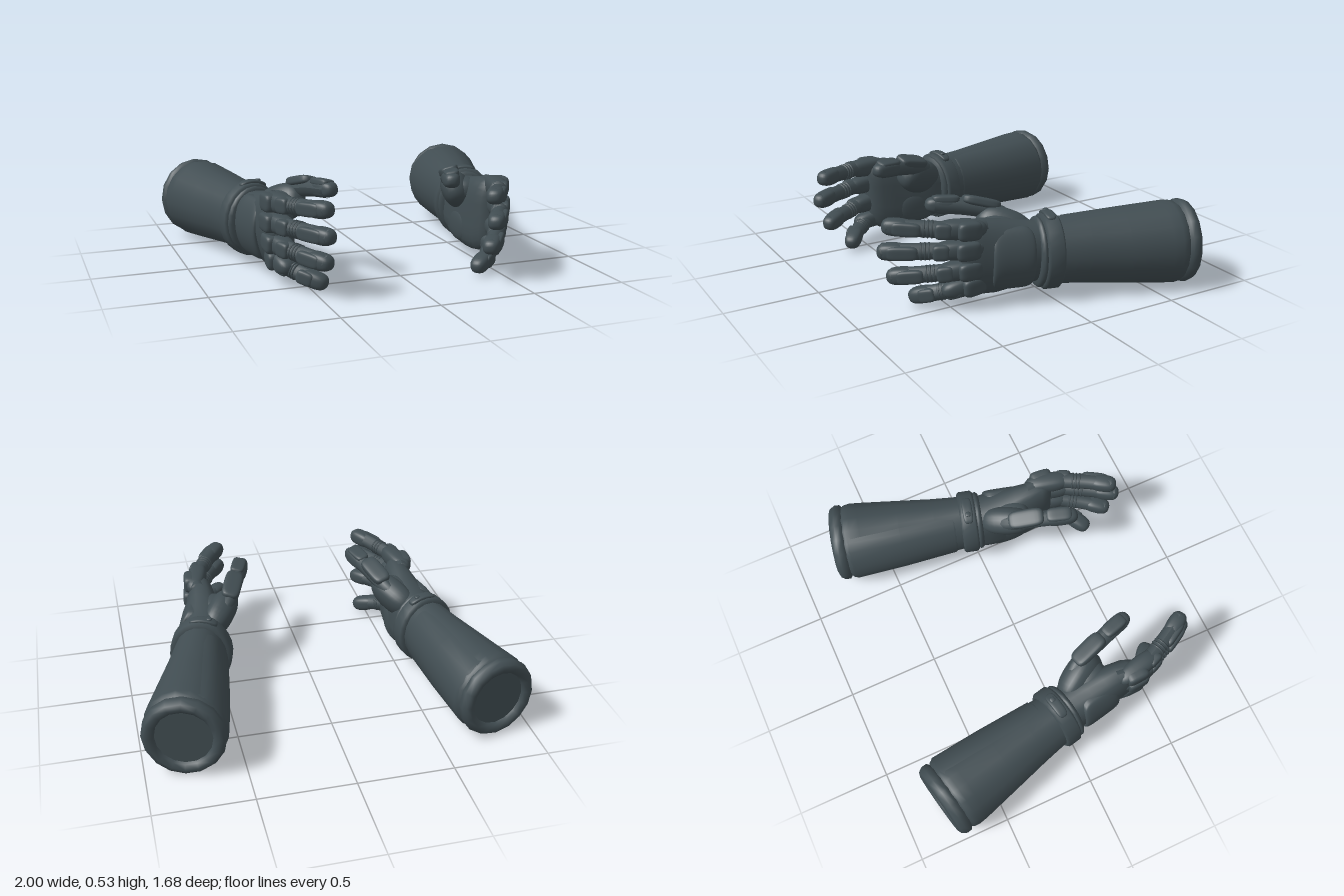
import * as THREE from 'three';
import { mergeVertices } from 'three/addons/utils/BufferGeometryUtils.js';

const V = (x, y, z) => new THREE.Vector3(x, y, z);

// Move every vertex by a rule
function bend(g, rule) {
  const pos = g.attributes.position;
  for (let i = 0; i < pos.count; i++) {
    const v = V().fromBufferAttribute(pos, i);
    rule(v);
    pos.setXYZ(i, v.x, v.y, v.z);
  }
  g.computeVertexNormals();
  return g;
}

// Rounded pad: a cube pushed onto a superellipsoid, p sets how boxy it is
function pad(w, h, d, p = 4, seg = 8) {
  const g = new THREE.BoxGeometry(2, 2, 2, seg, seg, seg);
  g.deleteAttribute('uv');
  g.deleteAttribute('normal');
  return bend(mergeVertices(g), (v) => {
    const k = (Math.abs(v.x) ** p + Math.abs(v.y) ** p + Math.abs(v.z) ** p) ** (-1 / p);
    v.multiplyScalar(k / 2).multiply(V(w, h, d));
  });
}

// Move a geometry to a point with its z axis along dir, rolled about that axis
function place(g, at, dir = V(0, 0, 1), roll = 0) {
  const o = new THREE.Object3D();
  o.position.copy(at);
  o.lookAt(at.clone().add(dir));
  o.rotateZ(roll);
  o.updateMatrix();
  return g.applyMatrix4(o.matrix);
}

// Skin over superellipse sections [z, cx, cy, rx, ry]; an arc has tucked-in edges
function loft(sections, n = 20, p = 2, arc = null) {
  const verts = [], index = [], cols = arc ? n + 1 : n;
  const [a0, a1] = arc || [0, Math.PI * 2];
  const pw = (c) => Math.sign(c) * Math.abs(c) ** (2 / p);
  for (const [z, cx, cy, rx, ry] of sections) {
    for (let i = 0; i < cols; i++) {
      const a = a0 + (a1 - a0) * i / n;
      const k = arc && (i === 0 || i === n) ? 0.95 : 1;
      verts.push(cx + rx * k * pw(Math.cos(a)), cy + ry * k * pw(Math.sin(a)), z);
    }
  }
  for (let j = 0; j < sections.length - 1; j++) {
    for (let i = 0; i < n; i++) {
      const a = j * cols + i, b = j * cols + (i + 1) % cols;
      index.push(a, b, a + cols, b, b + cols, a + cols);
    }
  }
  const g = new THREE.BufferGeometry();
  g.setAttribute('position', new THREE.Float32BufferAttribute(verts, 3));
  g.setIndex(index);
  g.computeVertexNormals();
  return g;
}

// Mirror a geometry across x and restore its facing
function mirror(g) {
  g.scale(-1, 1, 1);
  const ix = g.index.array;
  for (let i = 0; i < ix.length; i += 3) [ix[i], ix[i + 1]] = [ix[i + 1], ix[i]];
  g.computeVertexNormals();
}

// One glove: z runs from cuff to fingertips, +x is the back of the hand, thumb on top
function glove(mirrored, material) {
  const group = new THREE.Group();
  const add = (name, g) => {
    if (mirrored) mirror(g);
    const m = new THREE.Mesh(g, material);
    m.name = name;
    group.add(m);
  };

  // Forearm sleeve, raised inner panel, cuff rim and end cap
  add('sleeve', loft([
    [-0.72, 0, -0.02, 0.185, 0.195], [-0.7, 0, -0.02, 0.205, 0.213], [-0.67, 0, -0.02, 0.211, 0.219],
    [-0.62, 0, -0.02, 0.208, 0.216], [-0.4, 0, -0.015, 0.182, 0.2], [-0.2, 0, -0.01, 0.158, 0.184],
    [-0.03, 0, -0.005, 0.142, 0.175],
  ], 18));
  add('sleevePanel', loft([
    [-0.71, 0, -0.02, 0.19, 0.2], [-0.68, 0, -0.02, 0.215, 0.222], [-0.4, 0, -0.015, 0.19, 0.205],
    [-0.1, 0, -0.008, 0.154, 0.184], [-0.08, 0, -0.005, 0.135, 0.17],
  ], 10, 2, [1.8, 4.48]));
  add('cuffRim', loft([
    [-0.745, 0, -0.02, 0.14, 0.147], [-0.77, 0, -0.02, 0.15, 0.157], [-0.783, 0, -0.02, 0.174, 0.182],
    [-0.774, 0, -0.02, 0.197, 0.206], [-0.75, 0, -0.02, 0.211, 0.22], [-0.722, 0, -0.02, 0.21, 0.219],
    [-0.706, 0, -0.02, 0.19, 0.198],
  ], 16));
  add('cuffCap', loft([[-0.755, 0, -0.02, 0, 0], [-0.755, 0, -0.02, 0.15, 0.157]], 16));

  // Wrist strap: a wide band, a narrow collar and a buckle on top
  const ring = (z0, z1, rx, ry) => {
    const e = 0.012;
    return loft([
      [z0, 0, -0.005, rx - 0.035, ry - 0.035], [z0, 0, -0.005, rx - e, ry - e], [z0 + e, 0, -0.005, rx, ry],
      [z1 - e, 0, -0.005, rx, ry], [z1, 0, -0.005, rx - e, ry - e], [z1, 0, -0.005, rx - 0.035, ry - 0.035],
    ], 24);
  };
  add('wristStrap', ring(-0.055, 0.035, 0.168, 0.198));
  add('wristCollar', ring(0.03, 0.065, 0.155, 0.185));
  const buckle = bend(pad(0.15, 0.026, 0.055), (v) => { v.y -= 3 * v.x ** 2; });
  add('buckle', place(buckle, V(-0.02, 0.192, -0.01), V(0, 0, 1), 0.1));
  add('buckleStud', place(pad(0.03, 0.014, 0.03, 2.5), V(-0.05, 0.199, -0.01)));

  // Palm, cupped towards the little finger, and its heel
  add('palm', bend(loft([
    [0.02, 0, 0, 0.12, 0.155], [0.1, 0, 0, 0.125, 0.165], [0.18, 0.01, 0, 0.118, 0.18],
    [0.27, 0.024, 0.002, 0.104, 0.197], [0.35, 0.036, 0.012, 0.09, 0.203], [0.42, 0.047, 0.018, 0.079, 0.196],
    [0.46, 0.055, 0.024, 0.058, 0.175], [0.475, 0.057, 0.025, 0.03, 0.14], [0.476, 0.057, 0.025, 0, 0],
  ], 24, 2.4), (v) => { v.x += 0.15 * Math.min(0, v.y); }));
  add('palmHeel', place(pad(0.09, 0.2, 0.29, 2.4), V(-0.062, -0.07, 0.2), V(0.2, -0.12, 1)));

  // Back-of-hand plate, curved round the hand
  const plate = bend(pad(0.06, 0.32, 0.22, 5, 12), (v) => { v.x -= 2 * v.y ** 2; });
  add('handPlate', place(plate, V(0.116, 0.005, 0.2)));

  // Fingers: [name, knuckle y, knuckle x, tip y, tip x, tip z]
  const fingers = [
    ['index', 0.18, 0.082, 0.205, -0.005, 0.835], ['middle', 0.085, 0.09, 0.08, 0, 0.865],
    ['ring', -0.02, 0.08, -0.06, -0.012, 0.815], ['little', -0.112, 0.06, -0.19, -0.045, 0.69],
  ];
  for (const [name, y0, x0, y1, x1, z1] of fingers) {
    const mix = (a, b, t) => a + (b - a) * t;
    const len = z1 - 0.45;
    const curve = new THREE.CatmullRomCurve3([
      V(x0 - 0.03, y0, 0.34), V(x0, mix(y0, y1, 0.15), 0.45),
      V(mix(x0, x1, 0.4), mix(y0, y1, 0.6), 0.45 + len * 0.52), V(x1, y1, z1 - 0.025),
    ]);
    const on = (g, t, out = 0) => {
      const dir = curve.getTangentAt(t);
      const side = V(0, 1, 0).cross(dir).normalize();
      return place(g, curve.getPointAt(t).addScaledVector(side, out), dir);
    };
    add(name + 'Finger', new THREE.TubeGeometry(curve, 14, 0.042, 12));
    add(name + 'Root', on(pad(0.105, 0.1, 0.26, 2.6), 0.26, -0.006));
    add(name + 'Tip', on(pad(0.09, 0.086, 0.15, 2.7), 0.9));
    add(name + 'Knuckle', on(pad(0.07, 0.094, 0.125), 0.2, 0.03));
    add(name + 'MiddlePlate', on(pad(0.05, 0.08, 0.085), 0.44, 0.027));
    add(name + 'TipPlate', on(pad(0.045, 0.07, len * 0.38), 0.8, 0.027));
    for (const t of [0.55, 0.59, 0.63]) {
      add(name + 'JointBand', on(new THREE.TorusGeometry(0.04, 0.006, 6, 14), t));
    }
  }

  // Thumb: fleshy base, web to the palm, shaft and armour pads
  const thumb = new THREE.CatmullRomCurve3([
    V(-0.05, 0.08, 0.08), V(-0.128, 0.175, 0.22), V(-0.152, 0.215, 0.37), V(-0.168, 0.235, 0.54),
  ]);
  add('thumbBase', place(pad(0.16, 0.2, 0.3, 2.4), V(-0.08, 0.11, 0.2), V(-0.35, 0.35, 1), 0.5));
  add('thumbWeb', place(pad(0.16, 0.14, 0.2, 2.4), V(-0.055, 0.12, 0.235), V(0.1, 0.1, 1)));
  add('thumbShaft', new THREE.TubeGeometry(thumb, 12, 0.045, 12));
  add('thumbTip', place(pad(0.09, 0.085, 0.19, 2.8), V(-0.166, 0.23, 0.49), V(-0.08, 0.1, 1)));
  add('thumbPlate', place(pad(0.1, 0.05, 0.2), V(-0.146, 0.236, 0.3), V(-0.1, 0.26, 1), 0.3));
  add('thumbTipPlate', place(pad(0.078, 0.04, 0.14), V(-0.164, 0.262, 0.48), V(-0.08, 0.06, 1), 0.2));
  return group;
}

export function createModel() {
  const material = new THREE.MeshStandardMaterial({ color: 0x414d52 });
  material.name = 'slate grey';
  const model = new THREE.Group();

  const left = glove(false, material);
  left.name = 'leftGlove';
  left.position.set(0.6, 0.25, 0);
  left.rotation.y = -0.265;

  const right = glove(true, material);
  right.name = 'rightGlove';
  right.position.set(-0.645, 0.25, -0.035);
  right.rotation.y = 0.205;

  model.add(left, right);
  return model;
}
